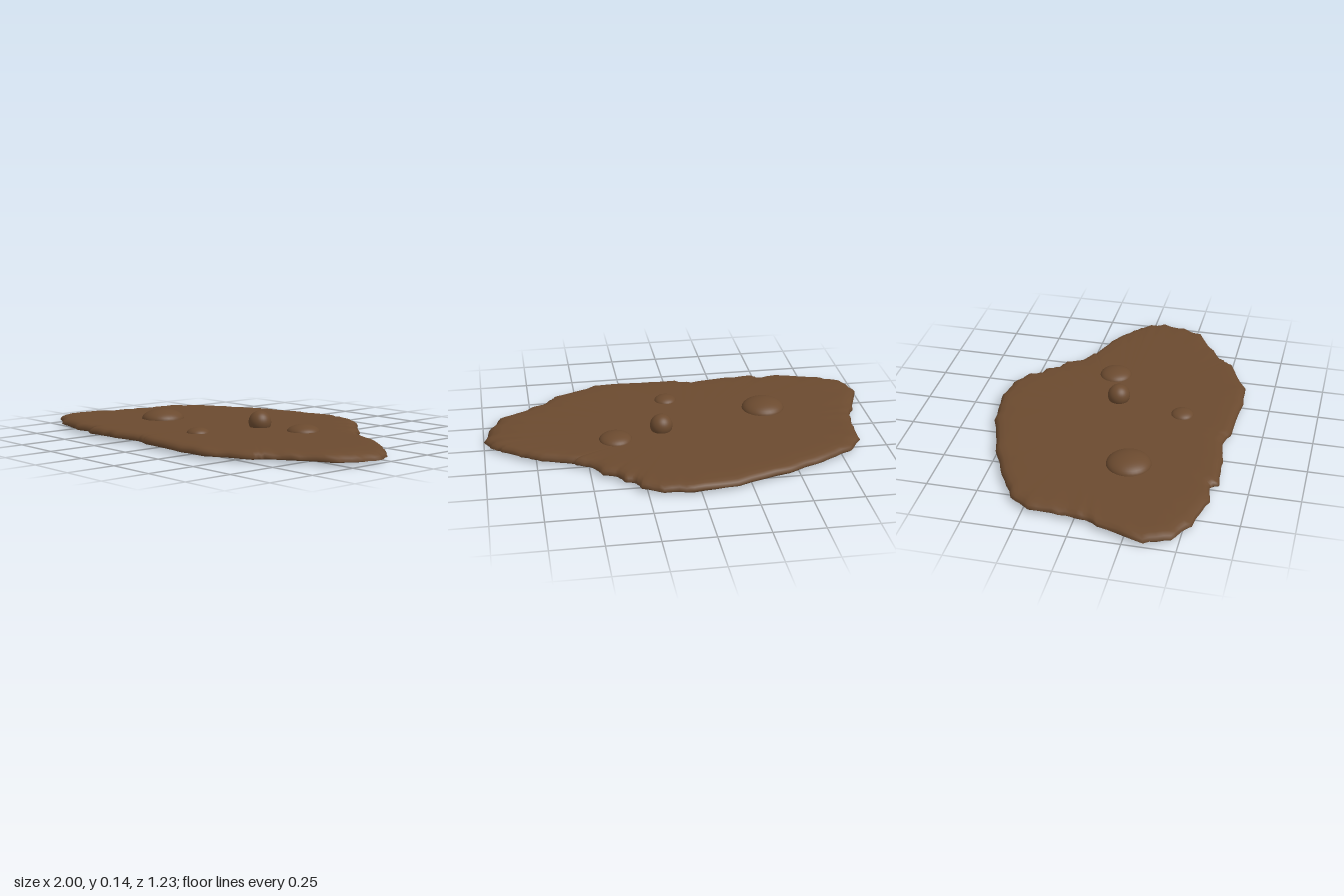
import * as THREE from 'three';

// Ragged outline (x, z), running from the right tip round the back
const OUTLINE = [
  [1, 0.06], [0.97, -0.01], [0.92, -0.06], [0.83, -0.13], [0.73, -0.19], [0.58, -0.24], [0.57, -0.255],
  [0.49, -0.30], [0.45, -0.38], [0.38, -0.41], [0.35, -0.47], [0.30, -0.49], [0.28, -0.545], [0.18, -0.60],
  [0.04, -0.617], [-0.18, -0.59], [-0.45, -0.50], [-0.64, -0.41], [-0.80, -0.32], [-0.87, -0.22],
  [-0.88, -0.07], [-0.89, 0.04], [-0.925, 0.12], [-1, 0.35], [-0.95, 0.47], [-0.83, 0.54], [-0.63, 0.59],
  [-0.52, 0.57], [-0.49, 0.61], [-0.29, 0.597], [-0.14, 0.57], [-0.05, 0.60], [0.25, 0.617], [0.40, 0.605],
  [0.62, 0.50], [0.65, 0.455], [0.78, 0.36], [0.92, 0.28], [0.97, 0.18],
];

function seeded(seed) {
  return () => (seed = (seed * 16807) % 2147483647) / 2147483647;
}

// Thin slab: rings of the outline shrunk towards the centre, with a rounded, wrinkled rim
function slabGeometry() {
  const random = seeded(71);
  const rim = [];
  OUTLINE.forEach(([x, z], i) => {
    const [nx, nz] = OUTLINE[(i + 1) % OUTLINE.length];
    for (let k = 0; k < 4; k++) {
      const t = k / 4;
      const s = k === 0 ? 1 : 1 - random() * 0.01;
      rim.push([(x + (nx - x) * t) * s, (z + (nz - z) * t) * s, random()]);
    }
  });
  // scale, height and how far the wrinkles lower each ring
  const rings = [
    [0.45, 0.056, 0], [0.8, 0.055, 0.001], [0.92, 0.054, 0.003], [0.965, 0.051, 0.006],
    [0.988, 0.042, 0.008], [1, 0.027, 0.006], [0.99, 0.015, 0], [0.95, 0.012, 0], [0.5, 0.012, 0],
  ];
  const n = rim.length;
  const positions = [0, 0.056, 0];
  for (const [s, y, wrinkle] of rings) {
    for (const [x, z, r] of rim) {
      const tip = Math.max(0, x * s - 0.9) * 0.12; // right tip droops
      positions.push(x * s, Math.max(0.012, y - wrinkle * r - tip), z * s);
    }
  }
  positions.push(0, 0.012, 0);
  const last = 1 + rings.length * n;
  const index = [];
  for (let i = 0; i < n; i++) {
    const j = (i + 1) % n;
    index.push(0, 1 + i, 1 + j);
    for (let r = 0; r < rings.length - 1; r++) {
      const a = 1 + r * n, b = a + n;
      index.push(a + i, b + i, b + j, a + i, b + j, a + j);
    }
    const e = last - n;
    index.push(last, e + j, e + i);
  }
  const geometry = new THREE.BufferGeometry();
  geometry.setAttribute('position', new THREE.Float32BufferAttribute(positions, 3));
  geometry.setIndex(index);
  geometry.computeVertexNormals();
  return geometry;
}

export function createModel() {
  const group = new THREE.Group();
  group.name = 'mudPuddle';
  const mud = new THREE.MeshStandardMaterial({ color: 0x6b4a2f });
  mud.name = 'mudBrown';

  const slab = new THREE.Mesh(slabGeometry(), mud);
  slab.name = 'puddle';
  group.add(slab);

  // Bubbles: centre, radius, half height
  const bubbles = [
    ['largeBubble', -0.45, 0.052, 0.165, 0.11, 0.052],
    ['roundBubble', 0.11, 0.08, -0.01, 0.057, 0.057],
    ['flatBubble', 0.35, 0.05, -0.08, 0.083, 0.038],
    ['smallBubble', 0.04, 0.05, 0.335, 0.058, 0.03],
  ];
  const sphere = new THREE.SphereGeometry(1, 32, 20);
  for (const [name, x, y, z, r, h] of bubbles) {
    const bubble = new THREE.Mesh(sphere, mud);
    bubble.name = name;
    bubble.position.set(x, y, z);
    bubble.scale.set(r, h, r);
    group.add(bubble);
  }
  return group;
}
